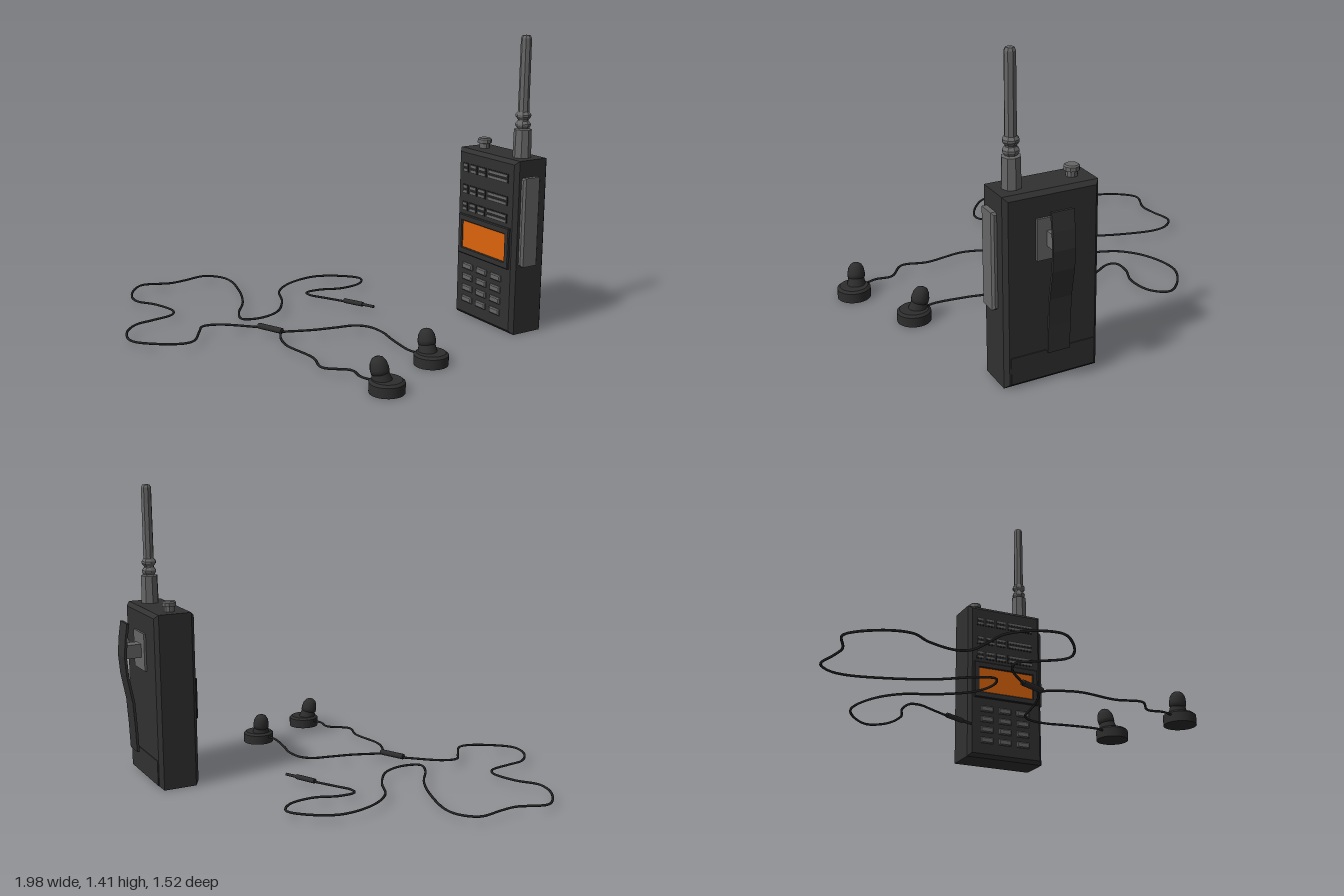
import * as THREE from 'three';

const paint = (name, color, extra = {}) => {
  const m = new THREE.MeshStandardMaterial({ color, ...extra });
  m.name = name;
  return m;
};

export function createModel() {
  const model = new THREE.Group();
  model.name = 'radioWithEarphones';
  const shell = paint('charcoalShell', 0x313131, { flatShading: true });
  const black = paint('blackTrim', 0x232323, { flatShading: true });
  const grey = paint('greyParts', 0x666666, { flatShading: true });
  const rubber = paint('darkRubber', 0x2d2d2d);
  const cableMat = paint('cableBlack', 0x222222);
  const orange = paint('orangeScreen', 0xdc640c);

  const add = (parent, name, geo, mat, x = 0, y = 0, z = 0) => {
    const m = new THREE.Mesh(geo, mat);
    m.name = name;
    m.position.set(x, y, z);
    parent.add(m);
    return m;
  };
  const box = (parent, name, mat, w, h, d, x, y, z) =>
    add(parent, name, new THREE.BoxGeometry(w, h, d), mat, x, y, z);
  const rect = (Type, w, h) => {
    const s = new Type();
    s.moveTo(-w / 2, -h / 2);
    s.lineTo(w / 2, -h / 2);
    s.lineTo(w / 2, h / 2);
    s.lineTo(-w / 2, h / 2);
    s.closePath();
    return s;
  };
  // Box with chamfered edges, centred
  const chamferBox = (w, h, d, b) => {
    const g = new THREE.ExtrudeGeometry(rect(THREE.Shape, w - 2 * b, h - 2 * b), {
      depth: d - 2 * b, bevelEnabled: true, bevelSize: b, bevelThickness: b, bevelSegments: 1,
    });
    return g.translate(0, 0, -(d - 2 * b) / 2);
  };
  const lathe = (pts, sides) =>
    new THREE.LatheGeometry(pts.map(([r, y]) => new THREE.Vector2(r, y)), sides);

  // Radio, turned on the spot
  const radio = new THREE.Group();
  radio.name = 'radio';
  radio.position.set(0.757, 0, -0.565);
  radio.rotation.y = -THREE.MathUtils.degToRad(25);
  model.add(radio);
  const W = 0.43, H = 0.84, D = 0.195, F = D / 2;
  add(radio, 'body', chamferBox(W, H, D, 0.018), shell, 0, H / 2, 0);

  // Screen with raised frame
  const frame = rect(THREE.Shape, 0.365, 0.19);
  frame.holes.push(rect(THREE.Path, 0.322, 0.142));
  add(radio, 'screenFrame', new THREE.ExtrudeGeometry(frame, {
    depth: 0.012, bevelEnabled: true, bevelSize: 0.004, bevelThickness: 0.004, bevelSegments: 1,
  }), shell, 0, 0.418, F - 0.004);
  box(radio, 'screen', orange, 0.322, 0.142, 0.006, 0, 0.419, F + 0.002);

  // Speaker slots: three rows of four segments
  for (const y of [0.75, 0.643, 0.558]) {
    for (const [a, b] of [[-0.167, -0.135], [-0.116, -0.07], [-0.053, -0.003], [0.017, 0.157]]) {
      box(radio, 'speakerRecess', black, b - a + 0.008, 0.044, 0.004, (a + b) / 2, y, F + 0.001);
      for (const s of [-1, 1])
        box(radio, 'speakerSlat', grey, b - a, 0.011, 0.008, (a + b) / 2, y + s * 0.012, F + 0.002);
    }
  }

  // Keypad
  for (const y of [0.259, 0.203, 0.147, 0.09])
    for (const x of [-0.113, -0.008, 0.097])
      add(radio, 'key', chamferBox(0.072, 0.03, 0.016, 0.005), grey, x, y, F + 0.003);

  // Side grip panel
  add(radio, 'sidePanel', chamferBox(0.044, 0.425, 0.1, 0.01), grey, W / 2, 0.547, 0.016);

  // Battery cover seams on the back
  box(radio, 'batterySeam', black, 0.36, 0.008, 0.004, 0, 0.13, -F - 0.001);
  box(radio, 'batteryCover', shell, 0.38, 0.12, 0.008, 0, 0.08, -F);

  // Belt clip: mount plate, stem and bowed strip
  box(radio, 'clipMount', grey, 0.15, 0.18, 0.012, 0, 0.64, -F - 0.004);
  box(radio, 'clipStem', grey, 0.066, 0.065, 0.085, 0, 0.642, -F - 0.04);
  const bow = [[-0.166, 0.78], [-0.178, 0.7], [-0.184, 0.62], [-0.177, 0.53], [-0.153, 0.4], [-0.145, 0.28], [-0.14, 0.155]];
  const strip = new THREE.Shape();
  bow.forEach(([z, y], i) => (i ? strip.lineTo(z, y) : strip.moveTo(z, y)));
  [...bow].reverse().forEach(([z, y]) => strip.lineTo(z - 0.012, y));
  strip.closePath();
  const clip = add(radio, 'beltClip', new THREE.ExtrudeGeometry(strip, { depth: 0.1, bevelEnabled: false }), shell, 0.05, 0, 0);
  clip.rotation.y = -Math.PI / 2; // profile x becomes z, depth runs to -x

  // Volume knob and antenna
  add(radio, 'knob', lathe([[0.025, 0], [0.025, 0.025], [0.034, 0.027], [0.034, 0.045], [0.028, 0.051], [0, 0.051]], 10),
    grey, -0.138, H - 0.002, 0);
  add(radio, 'antenna', lathe([
    [0.043, 0.835], [0.041, 0.972], [0.027, 0.976], [0.036, 0.99], [0.036, 0.998], [0.025, 1.012],
    [0.025, 1.018], [0.036, 1.032], [0.036, 1.042], [0.026, 1.055], [0.025, 1.395], [0.018, 1.408], [0, 1.41],
  ], 8), grey, 0.134, 0, 0);

  // Cables lying flat, given as x, z pairs
  const Y = 0.035;
  const cable = (name, pts, segments) => {
    const curve = new THREE.CatmullRomCurve3(pts.map(([x, z]) => new THREE.Vector3(x, Y, z)));
    add(model, name, new THREE.TubeGeometry(curve, segments, 0.0058, 6), cableMat);
  };
  cable('mainCable', [
    [0.05, -0.29], [-0.08, -0.28], [-0.16, -0.275], [-0.2, -0.3], [-0.17, -0.38], [-0.09, -0.465],
    [-0.057, -0.59], [-0.1, -0.67], [-0.185, -0.66], [-0.32, -0.565], [-0.365, -0.39], [-0.33, -0.24],
    [-0.22, -0.11], [-0.145, 0.04], [-0.16, 0.16], [-0.22, 0.22], [-0.285, 0.165], [-0.375, 0.015],
    [-0.505, -0.125], [-0.665, -0.245], [-0.745, -0.26], [-0.825, -0.225], [-0.86, -0.105],
    [-0.89, -0.025], [-0.99, 0.08], [-0.98, 0.15], [-0.905, 0.26], [-0.825, 0.305], [-0.72, 0.29],
    [-0.58, 0.315], [-0.545, 0.365], [-0.57, 0.48], [-0.592, 0.57], [-0.55, 0.68], [-0.455, 0.75],
    [-0.345, 0.72], [-0.235, 0.64], [-0.22, 0.59], [-0.28, 0.475], [-0.313, 0.41], [-0.27, 0.35], [-0.08, 0.265],
  ], 300);
  cable('earphoneCableBack', [
    [0.04, 0.262], [0.15, 0.155], [0.22, 0.065], [0.28, -0.01], [0.345, -0.03], [0.44, 0],
    [0.51, 0.05], [0.655, 0.135], [0.72, 0.145],
  ], 70);
  cable('earphoneCableFront', [
    [0.04, 0.27], [0.095, 0.34], [0.165, 0.395], [0.35, 0.455], [0.45, 0.53], [0.57, 0.485],
    [0.64, 0.525], [0.72, 0.53],
  ], 70);

  // Splitter and plug lie along x
  const rod = (name, mat, r, x0, x1, z, y) => {
    const m = add(model, name, new THREE.CylinderGeometry(r, r, x1 - x0, 10), mat, (x0 + x1) / 2, y, z);
    m.rotation.z = Math.PI / 2;
  };
  rod('cableSplitter', rubber, 0.014, -0.088, 0.047, 0.265, 0.041);
  rod('plugSleeve', rubber, 0.012, 0.04, 0.15, -0.29, 0.039);
  rod('plugPin', rubber, 0.007, 0.15, 0.215, -0.29, 0.039);

  // Earbuds, tips leaning away from each other
  for (const [z, side] of [[0.147, -1], [0.532, 1]]) {
    const bud = new THREE.Group();
    bud.name = 'earbud';
    bud.position.set(0.773, 0, z);
    model.add(bud);
    add(bud, 'budDisc', new THREE.CylinderGeometry(0.078, 0.078, 0.046, 28), rubber, 0, 0.023, 0);
    add(bud, 'budDiscEdge', new THREE.CylinderGeometry(0.066, 0.078, 0.01, 28), rubber, 0, 0.051, 0);
    const tip = new THREE.Group();
    tip.name = 'budTip';
    tip.position.set(-0.022, 0.05, side * 0.006);
    tip.rotation.set(side * 0.13, 0, 0.16);
    bud.add(tip);
    add(tip, 'tipNeck', new THREE.CylinderGeometry(0.036, 0.046, 0.045, 18), rubber, 0, 0.015, 0);
    add(tip, 'tipDome', lathe([[0.028, 0.03], [0.04, 0.036], [0.041, 0.055], [0.036, 0.08], [0.026, 0.097], [0.012, 0.105], [0, 0.107]], 18), rubber);
  }
  return model;
}
